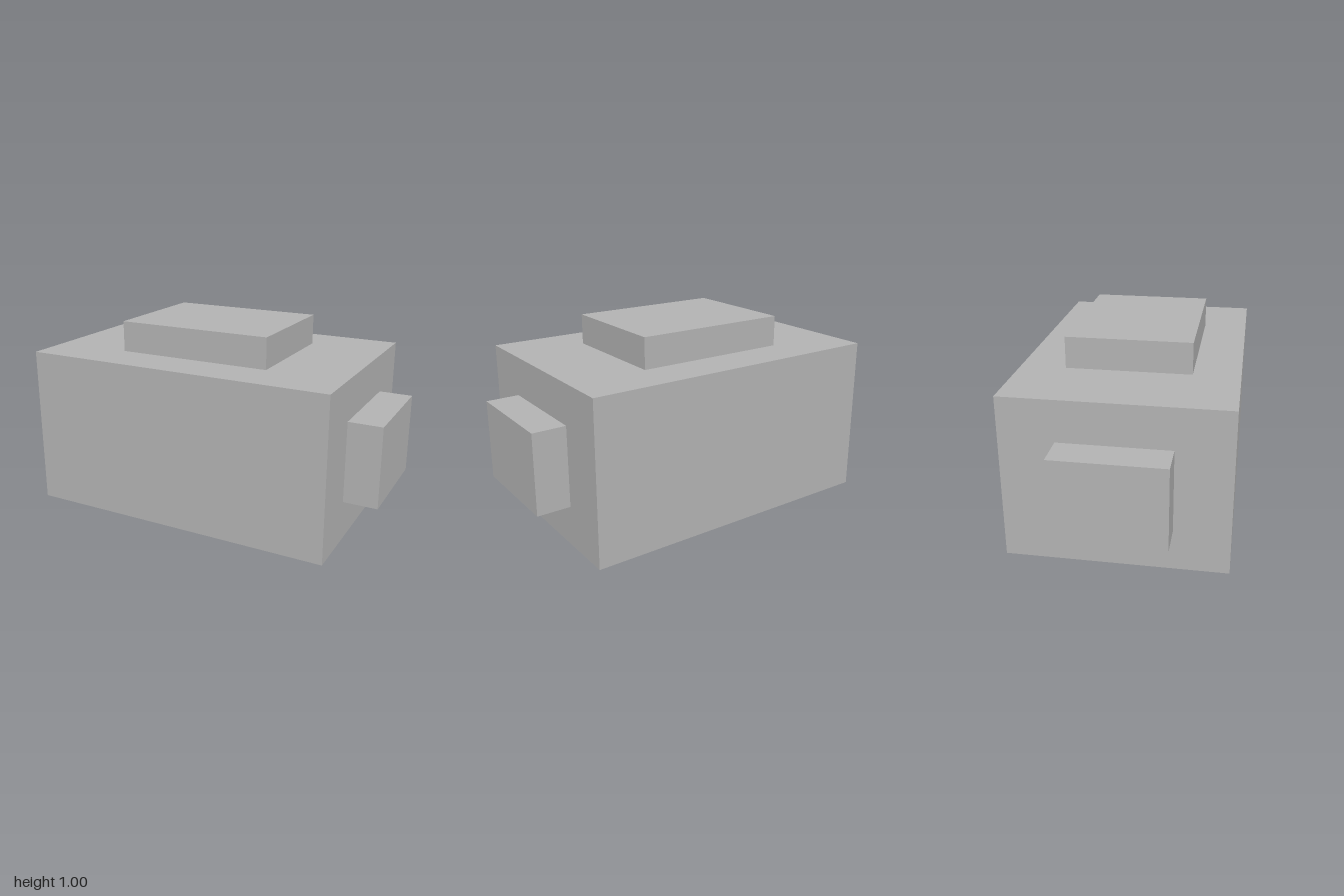
import * as THREE from 'three';

export function createModel() {
  const model = new THREE.Group();
  const grey = new THREE.MeshStandardMaterial({ color: 0xb2b2b2 });
  grey.name = 'grey';

  // Box given by its size and centre
  const addBox = (name, [w, h, d], [x, y, z]) => {
    const mesh = new THREE.Mesh(new THREE.BoxGeometry(w, h, d), grey);
    mesh.name = name;
    mesh.position.set(x, y, z);
    model.add(mesh);
  };

  // Main block, standing on the ground
  addBox('body', [1.652, 0.842, 1.1], [0, 0.421, 0]);

  // Raised slab on the top
  addBox('topBlock', [0.83, 0.162, 0.634], [0, 0.923, -0.002]);

  // Matching blocks on the two ends
  for (const side of [-1, 1]) {
    addBox(side > 0 ? 'leftBlock' : 'rightBlock', [0.174, 0.42, 0.552], [side * 0.913, 0.421, 0]);
  }

  return model;
}
